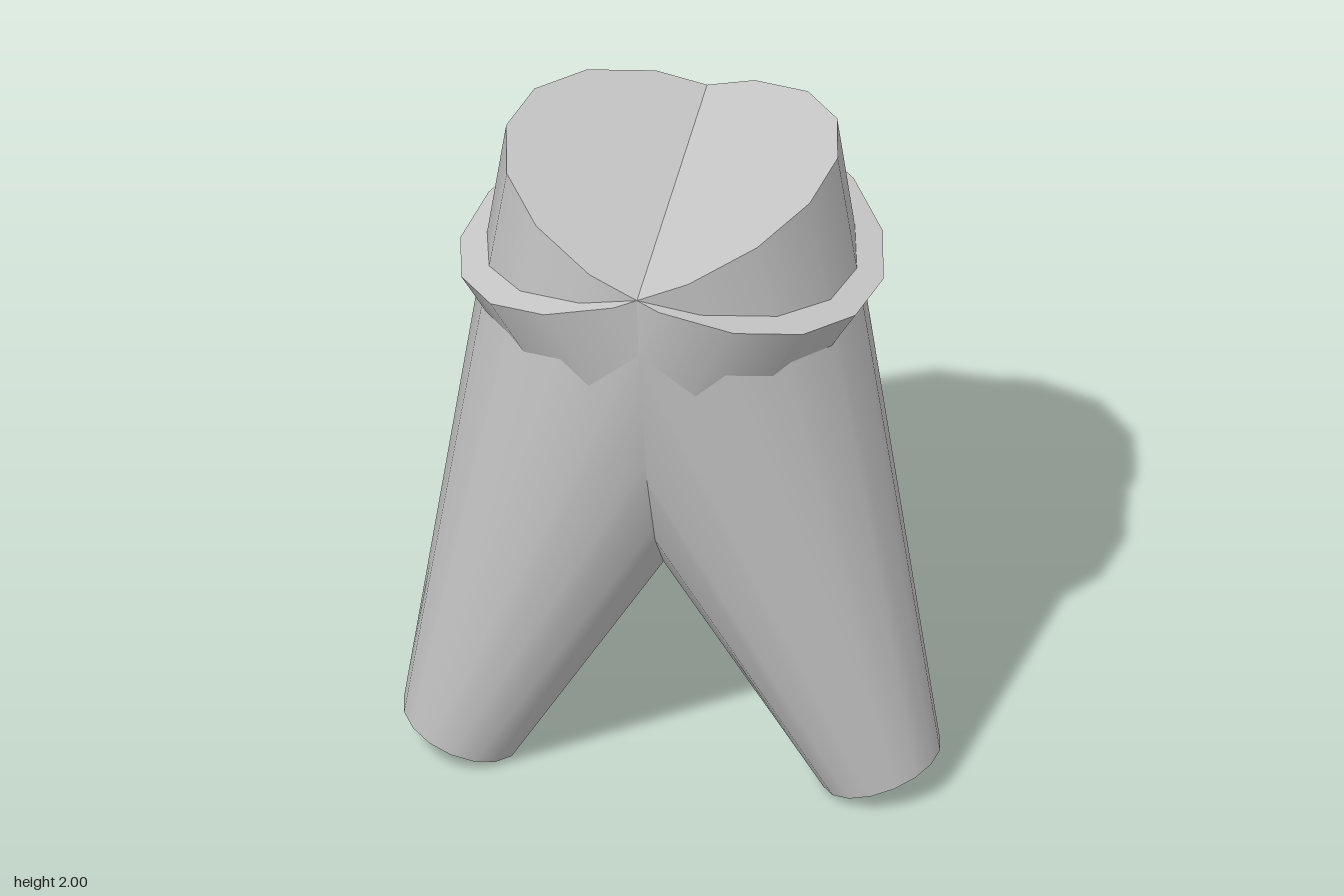
import * as THREE from 'three';

// Two tapered legs leaning into each other and crossing at the waist
export function createModel() {
  const model = new THREE.Group();
  const material = new THREE.MeshStandardMaterial({ color: 0xcccccc });

  const topRadius = 0.55;
  const footRadius = 0.17;
  const length = 1.8625;
  const tilt = THREE.MathUtils.degToRad(20);
  const geometry = new THREE.CylinderGeometry(topRadius, footRadius, length, 16);

  for (const side of [1, -1]) {
    const leg = new THREE.Mesh(geometry, material);
    leg.name = side > 0 ? 'leftLeg' : 'rightLeg';
    leg.position.set(side * 0.256, 0.933, 0);
    leg.rotation.z = side * tilt;
    model.add(leg);
  }
  return model;
}
